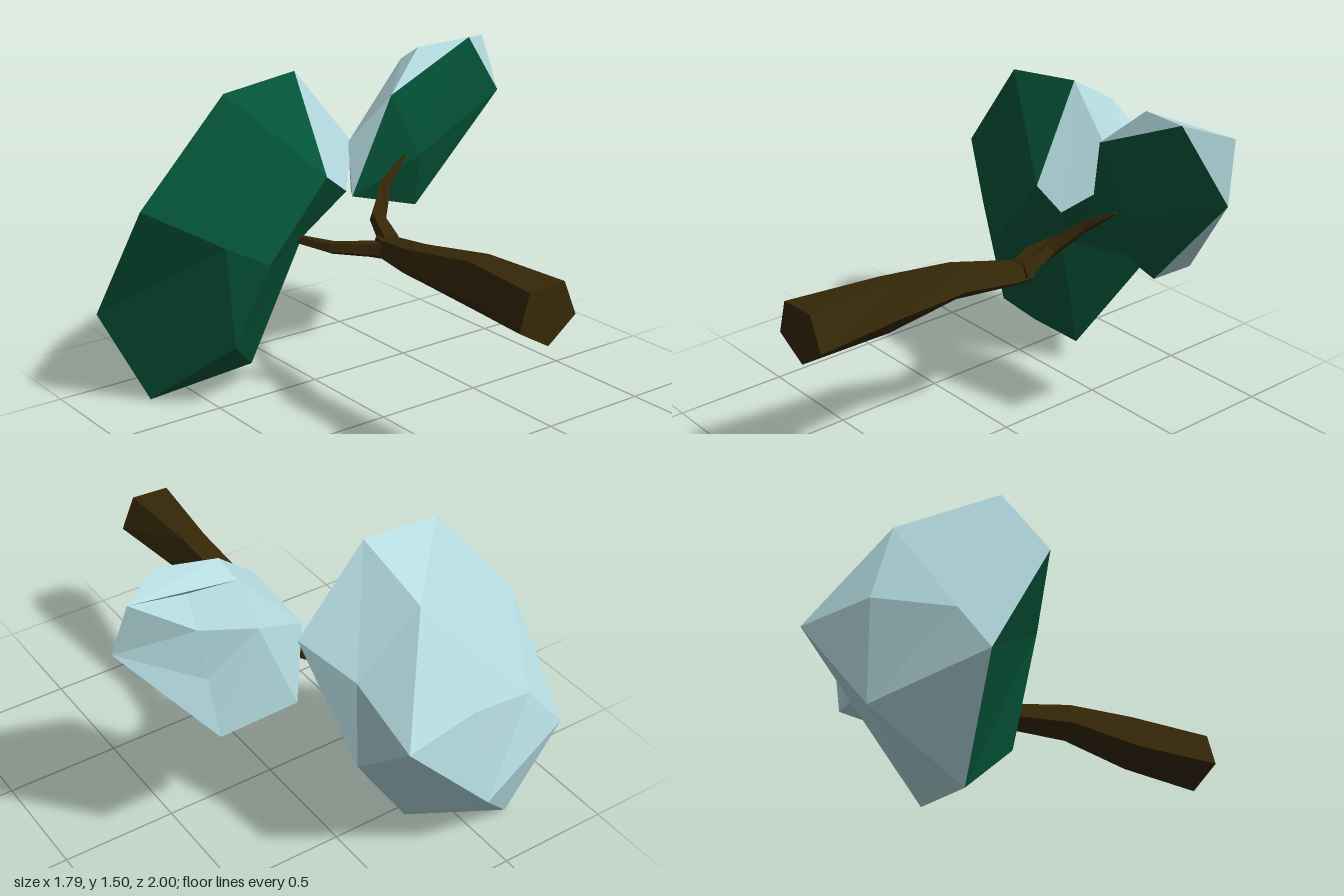
import * as THREE from 'three';
import { ConvexGeometry } from 'three/addons/geometries/ConvexGeometry.js';

const mat = (name, color) => {
  const m = new THREE.MeshStandardMaterial({ color, flatShading: true });
  m.name = name;
  return m;
};

// Five-sided limb lofted along nodes [x, y, z, halfWidth, halfHeight]
function limb(name, nodes, material) {
  const N = 5, pts = nodes.map(n => new THREE.Vector3(n[0], n[1], n[2]));
  const up = new THREE.Vector3(0, 1, 0), pos = [], idx = [];
  nodes.forEach((n, i) => {
    const a = pts[Math.max(i - 1, 0)], b = pts[Math.min(i + 1, pts.length - 1)];
    const t = i === 0 ? new THREE.Vector3(0, 0, -1) : b.clone().sub(a).normalize();
    const u = up.clone().cross(t).normalize(), v = t.clone().cross(u);
    for (let k = 0; k < N; k++) {
      const ang = (51 + 72 * k) * Math.PI / 180;
      const p = pts[i].clone().addScaledVector(u, n[3] * Math.cos(ang)).addScaledVector(v, n[4] * Math.sin(ang));
      pos.push(p.x, p.y, p.z);
    }
  });
  const last = (nodes.length - 1) * N;
  for (let i = 0; i < last; i += N) {
    for (let k = 0; k < N; k++) {
      const a = i + k, b = i + (k + 1) % N;
      idx.push(a, b, a + N, b, b + N, a + N);
    }
  }
  for (let k = 1; k < N - 1; k++) idx.push(0, k + 1, k, last, last + k, last + k + 1);
  const g = new THREE.BufferGeometry();
  g.setAttribute('position', new THREE.Float32BufferAttribute(pos, 3));
  g.setIndex(idx);
  const flat = g.toNonIndexed();
  flat.computeVertexNormals();
  const mesh = new THREE.Mesh(flat, material);
  mesh.name = name;
  return mesh;
}

// Faceted crown: a frosted hull over the lettered points, opened wherever a face
// uses only the letters of one opening, then closed with fans (hub + rim letters).
// Hollow points lie inside the hull and are reached by fans only.
function crown(name, points, hollows, openings, leafFans, frostFans, leaf, frost) {
  const all = { ...points, ...hollows };
  const hull = new ConvexGeometry(Object.values(points).map(p => new THREE.Vector3(...p))).getAttribute('position');
  const letters = Object.keys(points), v = new THREE.Vector3(), q = new THREE.Vector3();
  const letterAt = i => {
    v.fromBufferAttribute(hull, i);
    return letters.find(l => q.set(...points[l]).distanceTo(v) < 1e-4);
  };
  const fan = fans => fans.flatMap(([hub, rim]) =>
    [...rim.slice(1)].flatMap((l, i) => [...all[hub], ...all[rim[i]], ...all[l]]));
  const frostPos = fan(frostFans);
  for (let i = 0; i < hull.count; i += 3) {
    const face = [letterAt(i), letterAt(i + 1), letterAt(i + 2)];
    if (!openings.some(o => face.every(l => o.includes(l)))) frostPos.push(...face.flatMap(l => points[l]));
  }
  const group = new THREE.Group();
  group.name = name;
  for (const [part, pos, material] of [['Leaves', fan(leafFans), leaf], ['Frost', frostPos, frost]]) {
    const g = new THREE.BufferGeometry();
    g.setAttribute('position', new THREE.Float32BufferAttribute(pos, 3));
    g.computeVertexNormals();
    const mesh = new THREE.Mesh(g, material);
    mesh.name = name + part;
    group.add(mesh);
  }
  return group;
}

export function createModel() {
  const model = new THREE.Group();
  model.name = 'tree';
  const bark = mat('bark', 0x362707);
  const leaf = mat('leafGreen', 0x04573a);
  const frost = mat('frostBlue', 0xb4dbe0);
  leaf.side = frost.side = THREE.DoubleSide;

  // Trunk, lying along z, and its two branches
  model.add(limb('trunk', [
    [-0.015, 0.785, 1, 0.145, 0.13],
    [0, 0.785, 0.6, 0.088, 0.125],
    [-0.015, 0.77, 0.25, 0.08, 0.08],
    [0.04, 0.745, 0, 0.065, 0.055],
    [0.055, 0.745, -0.07, 0.055, 0.05],
  ], bark));
  model.add(limb('rightBranch', [
    [0.04, 0.75, 0.05, 0.05, 0.045],
    [-0.01, 0.735, -0.08, 0.04, 0.035],
    [-0.1, 0.722, -0.22, 0.032, 0.028],
    [-0.14, 0.717, -0.4, 0.022, 0.02],
  ], bark));
  model.add(limb('leftBranch', [
    [0.06, 0.755, -0.02, 0.055, 0.045],
    [0.095, 0.83, -0.16, 0.036, 0.036],
    [0.2, 0.94, -0.245, 0.025, 0.025],
    [0.335, 1.03, -0.285, 0.007, 0.007],
  ], bark));

  // Large crown: A to M bound and fill the leafy side, W is its hollow, U a dent in the frost
  model.add(crown('largeCrown', {
    A: [-0.11, 1.43, -0.46], B: [-0.47, 1.39, -0.44], C: [-0.84, 0.95, -0.5],
    D: [-0.9, 0.43, -0.81], E: [-0.69, 0, -0.76], F: [-0.25, 0.1, -0.63],
    G: [0.08, 0.6, -0.73], H: [-0.1, 1.02, -0.25], I: [-0.38, 0.69, -0.265],
    J: [-0.55, 0.78, -0.33], K: [-0.48, 0.31, -0.39], L: [0.02, 0.93, -0.28],
    M: [0.18, 1.08, -0.46], N: [0.05, 0.84, -1], P: [-0.39, 0.36, -0.97],
    Q: [-0.17, 1.27, -0.74], S: [-0.32, 0.83, -0.93], T: [-0.7, 0.67, -0.81],
  }, { W: [-0.12, 0.72, -0.41], U: [0.07, 0.98, -0.69] },
  ['ABCDEFGHIJKLM', 'GNQAM', 'DPST'],
  [['J', 'BCDEKI'], ['H', 'ABJI'], ['K', 'EF'], ['W', 'IKFGMLHI']],
  [['A', 'HLM'], ['U', 'GNQAMG'], ['T', 'SPD']], leaf, frost));

  // Small crown: A to E bound the leafy side, F is its middle; N, P and V dent the back
  model.add(crown('smallCrown', {
    A: [0.25, 1.31, -0.27], B: [0.68, 1.5, -0.28], C: [0.89, 1.23, -0.325],
    D: [0.47, 0.76, -0.38], E: [0.11, 0.87, -0.36],
    G: [0.44, 1.48, -0.33], H: [0.85, 1.47, -0.39], K: [0.55, 0.81, -0.5],
    L: [0.22, 0.84, -0.52], M: [0.12, 1.1, -0.4], O: [0.39, 1.26, -0.515],
    Q: [0.41, 1.42, -0.41],
  }, {
    F: [0.41, 1.02, -0.275], N: [0.57, 1.06, -0.45],
    P: [0.6, 1.29, -0.44], V: [0.6, 1.41, -0.37],
  },
  ['ABCDE', 'QHCKO'], [['F', 'ABCDEA']],
  [['P', 'VHCNOQV'], ['N', 'CKO'], ['V', 'QH']], leaf, frost));

  return model;
}
